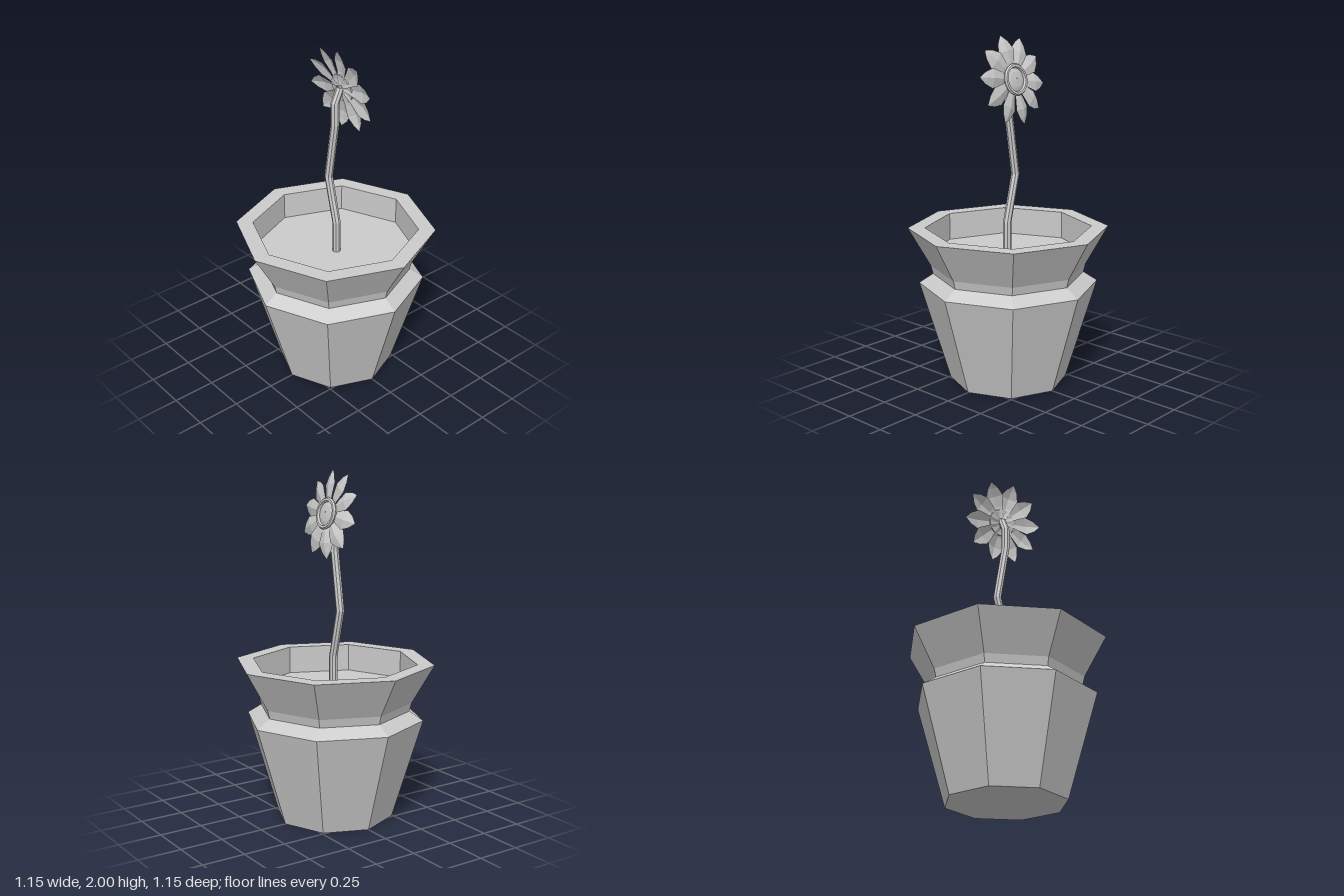
import * as THREE from 'three';

const flat = new THREE.MeshStandardMaterial({ color: 0xcccccc, flatShading: true });
const thin = new THREE.MeshStandardMaterial({ color: 0xcccccc, flatShading: true, side: THREE.DoubleSide });

function add(parent, name, geometry, material = flat) {
  const mesh = new THREE.Mesh(geometry, material);
  mesh.name = name;
  parent.add(mesh);
  return mesh;
}

const lathe = (points, sides) =>
  new THREE.LatheGeometry(points.map(([r, y]) => new THREE.Vector2(r, y)), sides);

// Tube with level rings centred on each path point
function ringTube(path, radius, sides) {
  const geometry = new THREE.CylinderGeometry(radius, radius, 1, sides, path.length - 1, true);
  const pos = geometry.attributes.position;
  for (let i = 0; i < pos.count; i++) {
    const row = Math.floor(i / (sides + 1));
    const [x, y, z] = path[path.length - 1 - row];
    pos.setXYZ(i, pos.getX(i) + x, y, pos.getZ(i) + z);
  }
  geometry.computeVertexNormals();
  return geometry;
}

// Pointed petal along +y with a raised midrib and a slight roll
function petalGeometry() {
  const rows = [[0.255, 0, 0], [0.215, 0.034, 0.006], [0.165, 0.055, 0.012], [0.1, 0.036, 0.014], [0.02, 0.01, 0.006]];
  const geometry = new THREE.PlaneGeometry(1, 1, 2, rows.length - 1);
  const pos = geometry.attributes.position;
  for (let i = 0; i < pos.count; i++) {
    const [r, half, height] = rows[Math.floor(i / 3)];
    const side = (i % 3) - 1;
    const ridge = side === 0 ? half * 0.25 : 0;
    pos.setXYZ(i, side * half, r, height + ridge + side * half * 0.15);
  }
  geometry.computeVertexNormals();
  return geometry;
}

export function createModel() {
  const model = new THREE.Group();
  model.name = 'pottedFlower';

  // Octagonal pot with pinched neck and flared rim
  add(model, 'pot', lathe([
    [0, 0], [0.34, 0], [0.515, 0.585], [0.435, 0.637], [0.447, 0.685],
    [0.575, 0.91], [0.478, 0.91], [0.478, 0.75],
  ], 8));
  add(model, 'soil', lathe([[0.478, 0.75], [0, 0.75]], 8));

  // Crooked stem
  add(model, 'stem', ringTube([
    [0.01, 0.74, 0], [0.01, 0.94, 0], [-0.058, 1.21, 0],
    [-0.003, 1.55, 0], [-0.003, 1.68, 0], [-0.003, 1.765, -0.04],
  ], 0.024, 8), thin);

  // Flower head, facing backwards and tilted up
  const flower = new THREE.Group();
  flower.name = 'flower';
  flower.position.set(0, 1.75, -0.03);
  flower.rotation.set(0.21, Math.PI, 0);
  model.add(flower);

  const petal = petalGeometry();
  for (let i = 0; i < 10; i++) {
    const mesh = add(flower, 'petal', petal, thin);
    mesh.rotation.z = THREE.MathUtils.degToRad(10 + i * 36);
  }

  // Seed disc inside a raised ring
  const disc = add(flower, 'seedDisc', lathe([
    [0, 0.014], [0.082, 0.014], [0.09, 0.028], [0.083, 0.037],
    [0.07, 0.037], [0.065, 0.024], [0.045, 0.03], [0, 0.034],
  ], 20));
  disc.rotation.x = Math.PI / 2;

  return model;
}
